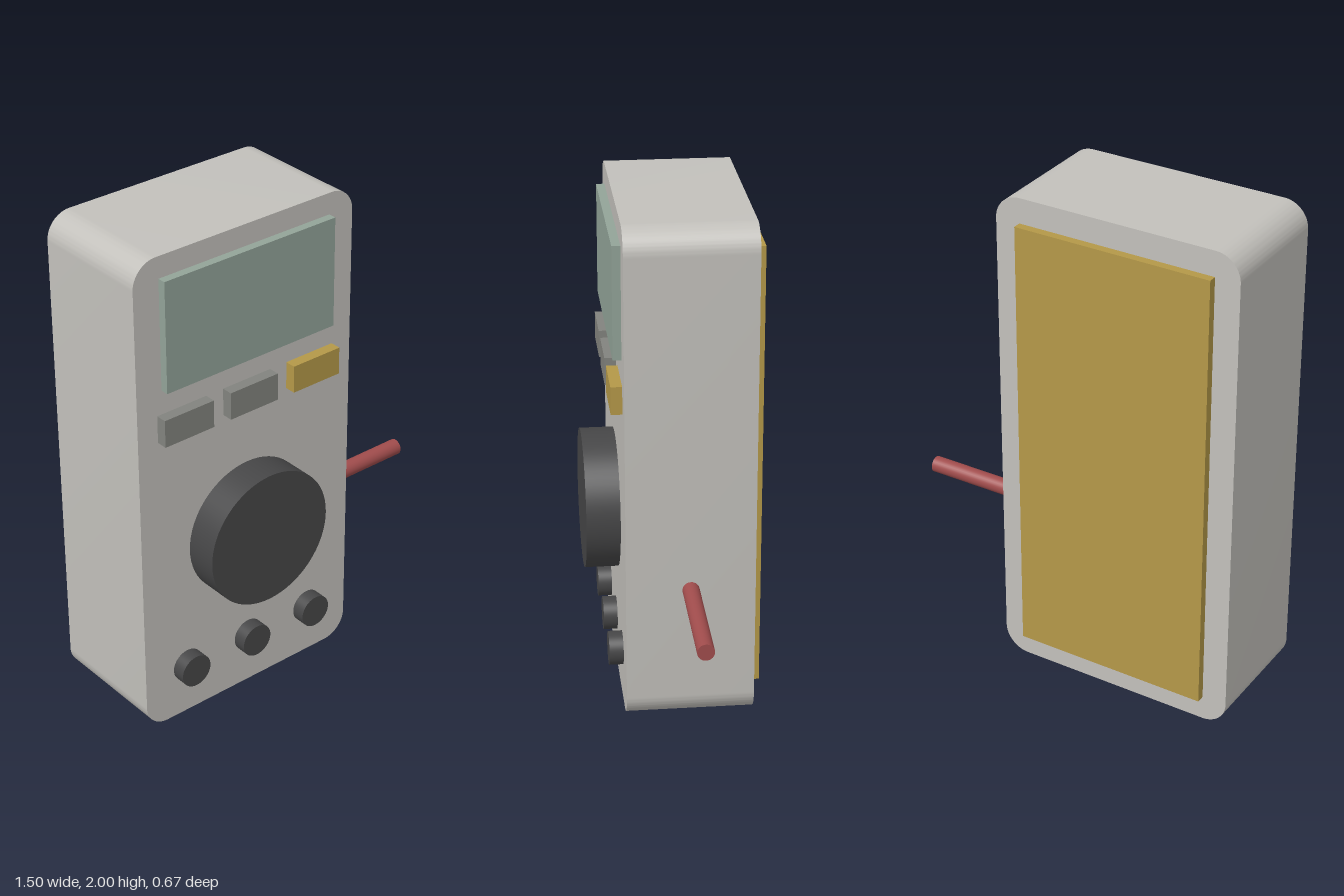
import * as THREE from 'three';
import { toCreasedNormals } from 'three/addons/utils/BufferGeometryUtils.js';

const material = (name, color) => {
  const m = new THREE.MeshStandardMaterial({ color });
  m.name = name;
  return m;
};

export function createModel() {
  const group = new THREE.Group();
  group.name = 'multimeter';

  const shell = material('shell grey', 0xc2c0bb);
  const glass = material('screen green', 0x92a398);
  const amber = material('amber', 0xb49848);
  const keyGrey = material('key grey', 0x82837e);
  const black = material('dial black', 0x464647);
  const red = material('lead red', 0xa04c4c);

  const CX = -0.25, FRONT = 0.2, BACK = -0.3;

  function add(name, geometry, mat, x, y, z) {
    const mesh = new THREE.Mesh(geometry, mat);
    mesh.name = name;
    mesh.position.set(x, y, z);
    group.add(mesh);
    return mesh;
  }

  // Raised block standing on the front face
  const block = (name, mat, x, y, w, h, d) =>
    add(name, new THREE.BoxGeometry(w, h, d), mat, x, y, FRONT + d / 2);

  // Round piece standing on the front face
  const disc = (name, x, y, r, d) =>
    add(name, new THREE.CylinderGeometry(r, r, d, 64).rotateX(Math.PI / 2), black, x, y, FRONT + d / 2);

  // Housing with rounded corners
  const w = 0.5, h = 1, r = 0.1;
  const outline = new THREE.Shape();
  outline.absarc(w - r, h - r, r, 0, Math.PI / 2);
  outline.absarc(-w + r, h - r, r, Math.PI / 2, Math.PI);
  outline.absarc(-w + r, -h + r, r, Math.PI, Math.PI * 1.5);
  outline.absarc(w - r, -h + r, r, Math.PI * 1.5, Math.PI * 2);
  outline.closePath();
  const housing = new THREE.ExtrudeGeometry(outline, {
    depth: FRONT - BACK, bevelEnabled: false, curveSegments: 12,
  });
  add('housing', toCreasedNormals(housing, 0.5), shell, CX, 1, BACK);

  // Display and the row of keys
  block('screen', glass, CX, 1.692, 0.778, 0.444, 0.033);
  [keyGrey, keyGrey, amber].forEach((mat, i) =>
    block('key' + (i + 1), mat, CX + (i - 1) * 0.3, 1.317, 0.222, 0.111, 0.044));

  // Selector dial and input sockets
  disc('selectorDial', CX, 0.739, 0.278, 0.133);
  for (let i = -1; i <= 1; i++) disc('socket' + (i + 2), CX + i * 0.3, 0.217, 0.067, 0.056);

  // Back plate
  add('backPlate', new THREE.BoxGeometry(0.8, 1.8, 0.033), amber, CX, 1, BACK - 0.0165);

  // Test lead out of the left side
  add('testLead', new THREE.CylinderGeometry(0.033, 0.033, 0.5, 32).rotateZ(Math.PI / 2),
    red, 0.5, 0.561, -0.05);

  return group;
}
